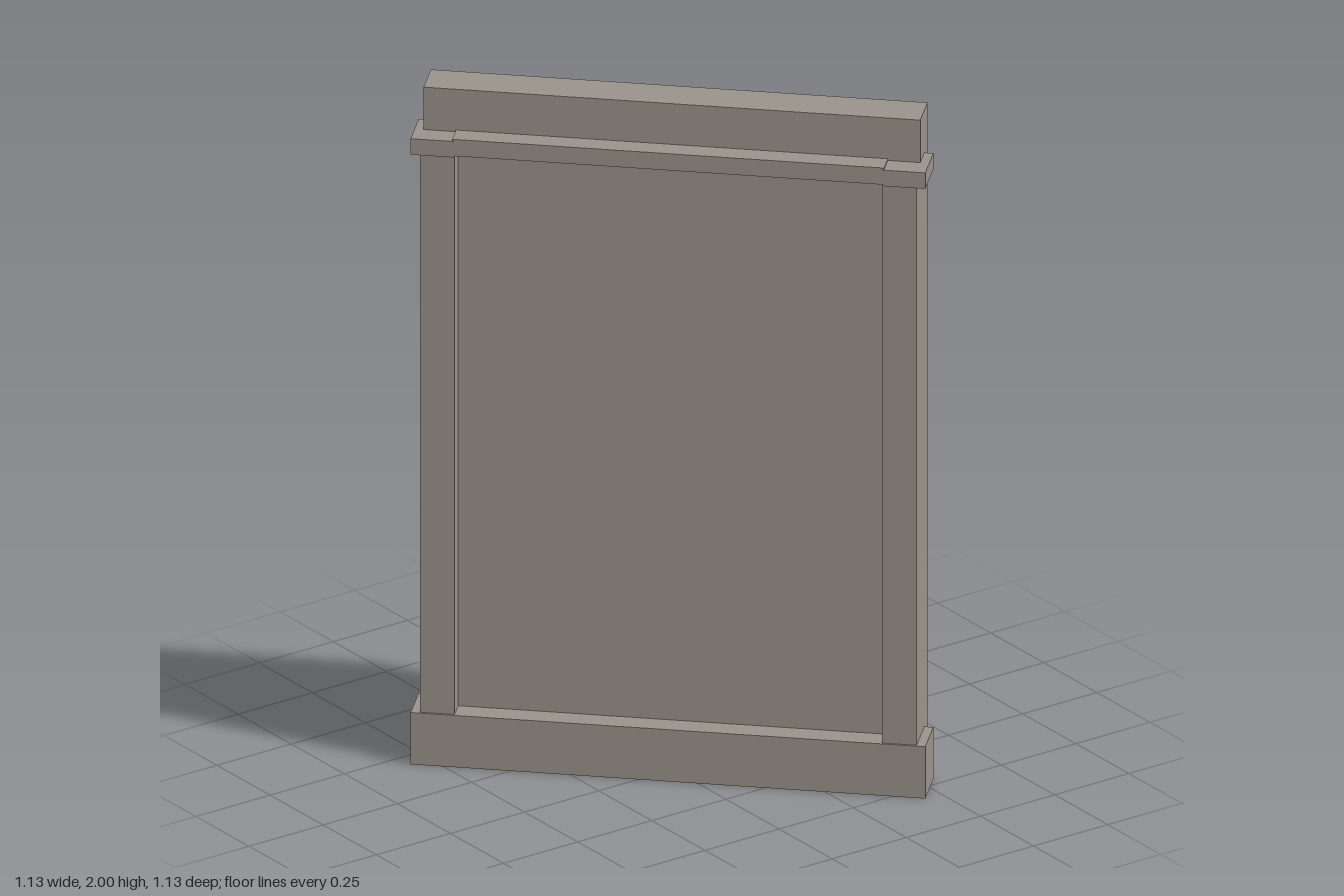
import * as THREE from 'three';

export function createModel() {
  const mat = (name, color) => {
    const m = new THREE.MeshStandardMaterial({ color });
    m.name = name;
    return m;
  };
  const stone = mat('stone', 0x99928a);
  const shutter = mat('dark shutter', 0x594d57);
  const gold = mat('gold', 0xc69a52);

  const model = new THREE.Group();
  model.name = 'wallPanel';
  // Everything is built square, then turned 45 degrees: +z is the panelled face, -z the window face.
  const wall = new THREE.Group();
  wall.name = 'wall';
  wall.rotation.y = -Math.PI / 4;
  model.add(wall);

  const add = (name, geometry, material) => {
    const mesh = new THREE.Mesh(geometry, material);
    mesh.name = name;
    wall.add(mesh);
    return mesh;
  };
  // Box given by its limits
  const box = (name, material, x0, x1, y0, y1, z0, z1) =>
    add(name, new THREE.BoxGeometry(x1 - x0, y1 - y0, z1 - z0), material)
      .position.set((x0 + x1) / 2, (y0 + y1) / 2, (z0 + z1) / 2);
  // Flat outline extruded between two depths
  const prism = (name, material, points, x, z0, z1) => {
    const shape = new THREE.Shape(points.map(([px, py]) => new THREE.Vector2(px, py)));
    const g = new THREE.ExtrudeGeometry(shape, { depth: z1 - z0, bevelEnabled: false });
    add(name, g, material).position.set(x, 0, z0);
  };

  // Slab, base and upper moulding
  box('slab', stone, -0.69, 0.69, 0, 2, -0.106, 0.016);
  box('base', stone, -0.715, 0.715, 0, 0.155, -0.053, 0.083);
  box('moulding', stone, -0.6, 0.6, 1.828, 1.878, 0.01, 0.08);

  for (const s of [-1, 1]) {
    const side = (name, material, a, b, ...rest) =>
      box(name, material, Math.min(s * a, s * b), Math.max(s * a, s * b), ...rest);

    // Pilasters and moulding ends on the panelled face
    side('pilaster', stone, 0.594, 0.69, 0.15, 1.83, 0.01, 0.077);
    side('mouldingEnd', stone, 0.595, 0.715, 1.825, 1.873, -0.053, 0.083);

    // Outer window post
    side('windowPost', stone, 0.39, 0.457, 0.34, 1.265, -0.155, -0.1);

    // Pointed shutter standing off a gold backing, with a wedge at its peak
    const c = s * 0.208;
    box('windowBacking', gold, c - 0.13, c + 0.13, 0.37, 1.17, -0.147, -0.1);
    prism('windowShutter', shutter,
      [[-0.17, 0.34], [0.17, 0.34], [0.17, 1.175], [0, 1.495], [-0.17, 1.175]], c, -0.187, -0.145);
    prism('peakWedge', stone, [[-0.064, 1.172], [0.064, 1.172], [0, 1.565]], c, -0.196, -0.1);
  }

  // Central mullion: wide backing strip and taller narrow rib
  box('mullionStrip', stone, -0.04, 0.04, 0.34, 1.265, -0.155, -0.1);
  box('mullionRib', stone, -0.022, 0.022, 0.335, 1.385, -0.2, -0.13);

  return model;
}
